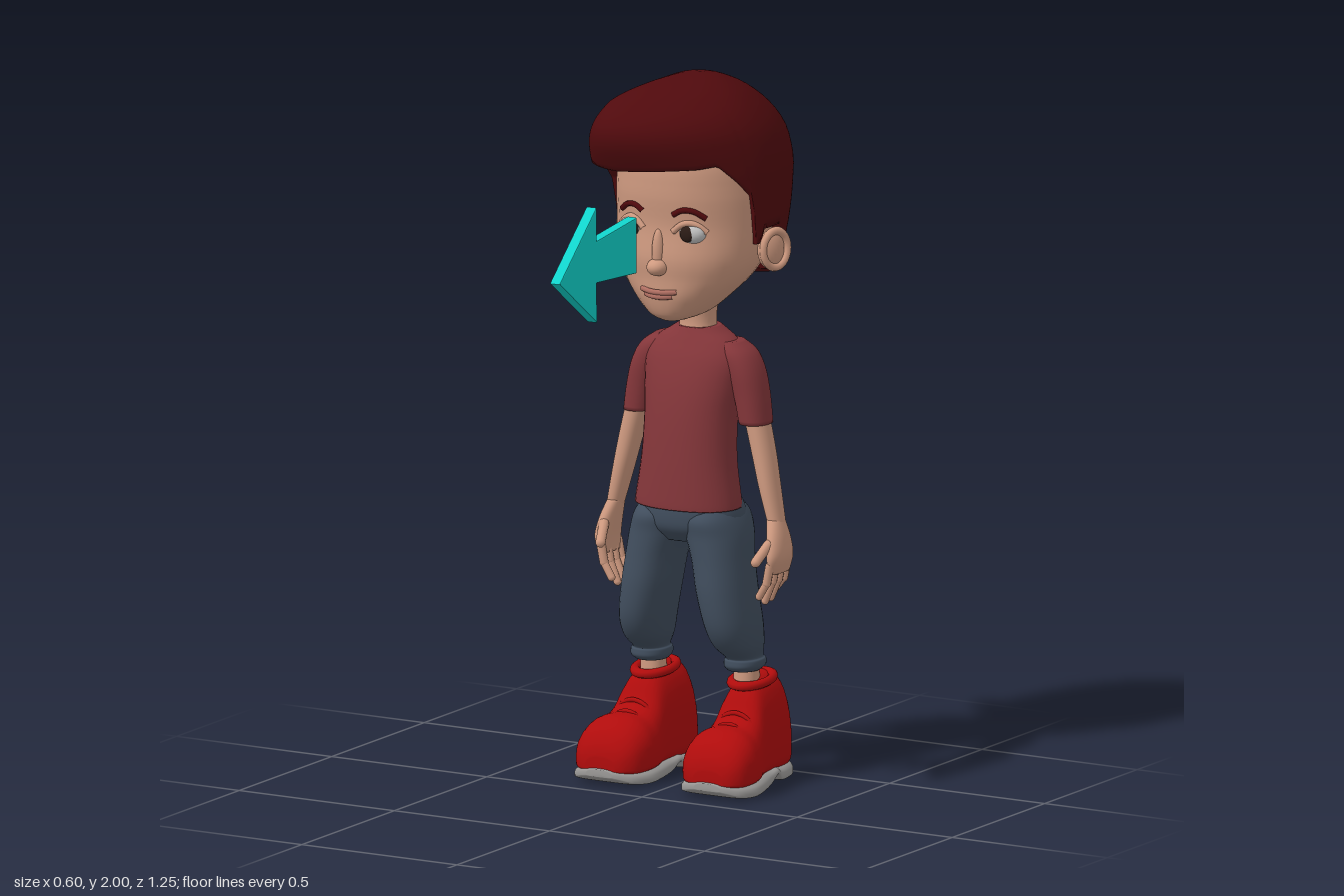
import * as THREE from 'three';

const V = (x, y, z) => new THREE.Vector3(x, y, z);
const material = (name, color) => Object.assign(new THREE.MeshStandardMaterial({ color }), { name });

// Catmull-Rom resampling of profile rows
function smooth(rows, steps = 5) {
  const out = [], last = rows.length - 1;
  for (let i = 0; i < last; i++) for (let k = 0; k < steps; k++) {
    const t = k / steps, a = rows[Math.max(i - 1, 0)], b = rows[i], c = rows[i + 1], d = rows[Math.min(i + 2, last)];
    out.push(b.map((_, j) => 0.5 * (2 * b[j] + (c[j] - a[j]) * t + (2 * a[j] - 5 * b[j] + 4 * c[j] - d[j]) * t * t
      + (3 * b[j] - a[j] - 3 * c[j] + d[j]) * t * t * t)));
  }
  out.push(rows[last]);
  return out;
}

// Linear lookup in rows sorted by their first value
function at(rows, key) {
  let i = 0;
  while (i < rows.length - 2 && rows[i + 1][0] < key) i++;
  const a = rows[i], b = rows[i + 1], t = THREE.MathUtils.clamp((key - a[0]) / (b[0] - a[0]), 0, 1);
  return a.map((v, j) => v + (b[j] - v) * t);
}

// Closed skin over rings of points, capped at both ends
function loft(rings) {
  const n = rings[0].length, pos = [], idx = [], m = rings.length;
  rings.forEach(r => r.forEach(p => pos.push(p.x, p.y, p.z)));
  for (const r of [rings[0], rings[m - 1]]) {
    const c = r.reduce((s, p) => s.add(p), V(0, 0, 0)).divideScalar(n);
    pos.push(c.x, c.y, c.z);
  }
  for (let j = 0; j < n; j++) {
    const k = (j + 1) % n;
    for (let i = 0; i < m - 1; i++) {
      const a = i * n + j, b = i * n + k;
      idx.push(a, b, b + n, a, b + n, a + n);
    }
    idx.push(m * n, k, j, m * n + 1, (m - 1) * n + j, (m - 1) * n + k);
  }
  const g = new THREE.BufferGeometry();
  g.setAttribute('position', new THREE.Float32BufferAttribute(pos, 3));
  g.setIndex(idx);
  g.computeVertexNormals();
  return g;
}

const power = (t, e) => Math.sign(t) * Math.abs(t) ** e;
const circle = (n, fn) => Array.from({ length: n }, (_, i) => fn(i / n * Math.PI * 2));

// Upright form from rows [y, centre x, half width, front z, back z]
function upright(rows, side = 1, p = 2.2) {
  return loft(smooth(rows).map(([y, cx, hw, zf, zb]) => circle(32, a =>
    V(side * cx + hw * power(Math.sin(a), 2 / p), y, (zf + zb) / 2 + (zf - zb) / 2 * power(Math.cos(a), 2 / p)))));
}

// Shoe form from rows [z, half width, bottom y, top y], flat underneath
function shoeForm(rows, side, grow = 0) {
  return loft(smooth(rows, 4).map(([z, hw, y0, y1]) => {
    const cx = side * (0.15 + (z + 0.46) * 0.06), ym = y0 + (y1 - y0) * 0.3;
    return circle(32, a => {
      const s = Math.sin(a), e = s < 0 ? 0.4 : 0.85;
      return V(cx + (hw + grow) * power(Math.cos(a), e), ym + (s < 0 ? ym - y0 : y1 - ym) * power(s, e), z);
    });
  }));
}

const HEAD = smooth([
  [1.325, 0, 0.035, -0.135, -0.25], [1.345, 0, 0.08, -0.105, -0.32], [1.395, 0, 0.135, -0.088, -0.38],
  [1.45, 0, 0.182, -0.085, -0.43], [1.51, 0, 0.207, -0.08, -0.47], [1.6, 0, 0.217, -0.088, -0.5],
  [1.7, 0, 0.217, -0.08, -0.52], [1.8, 0, 0.2, -0.09, -0.5], [1.88, 0, 0.14, -0.15, -0.44]]);
const faceZ = (x, y) => {
  const [, , hw, zf, zb] = at(HEAD, y);
  return (zf + zb) / 2 + (zf - zb) / 2 * (1 - Math.abs(x / hw) ** 2.2) ** (1 / 2.2);
};

// Hair swept up from a hairline, with the front leaning to one side
function hairGeometry() {
  const line = [[0, 1.76], [45, 1.772], [55, 1.78], [66, 1.705], [71, 1.68], [73, 1.545], [79, 1.545], [82, 1.585],
    [101, 1.585], [106, 1.45], [120, 1.432], [180, 1.43]];
  const shape = smooth([[1.42, 0.19, -0.1, -0.49], [1.5, 0.222, -0.08, -0.565], [1.6, 0.234, -0.07, -0.608],
    [1.7, 0.24, -0.06, -0.622], [1.76, 0.24, -0.02, -0.617], [1.84, 0.225, 0.014, -0.585], [1.9, 0.192, 0, -0.535],
    [1.95, 0.142, -0.065, -0.465], [1.98, 0.09, -0.145, -0.4], [1.995, 0.045, -0.225, -0.35], [2, 0.004, -0.29, -0.3]]);
  const rows = [-1, ...Array.from({ length: 27 }, (_, i) => i / 26)];
  return loft(rows.map(v => circle(180, a => {
    const deg = a * 180 / Math.PI, yb = at(line, Math.min(deg, 360 - deg))[1];
    const y = yb + (2 - yb) * Math.sin(Math.max(v, 0) * Math.PI / 2);
    const [, hw, zf, zb] = at(shape, y), k = v < 0 ? 0.55 : 1;
    const c = Math.cos(a), cz = Math.max(-0.31, (zf + zb) / 2 - 0.02);
    const lean = 0.1 * Math.max(c, 0) ** 2 * THREE.MathUtils.smoothstep(y, 1.6, 1.78) * Math.min(1, hw / 0.15);
    return V(k * hw * Math.sin(a) - lean, y, cz + k * c * (c > 0 ? zf - cz : cz - zb));
  })));
}

export function createModel() {
  const model = new THREE.Group();
  model.name = 'boyWithArrow';
  const skin = material('skin', 0xcf9a80), hair = material('hair', 0x500a0d), shirt = material('shirt', 0x84363a),
    denim = material('denim', 0x414e5e), red = material('shoeRed', 0xb00c0c), sole = material('soleGrey', 0x9c9a98),
    cyan = material('arrowCyan', 0x11d4cc), white = material('eyeWhite', 0xc4c4c4), dark = material('iris', 0x2c1c16),
    lip = material('lip', 0xb06f62);
  const add = (name, geometry, mat) => {
    const m = new THREE.Mesh(geometry, mat);
    m.name = name;
    model.add(m);
    return m;
  };
  const blob = (name, mat, c, r) => {
    const m = add(name, new THREE.SphereGeometry(1, 24, 16), mat);
    m.position.set(...c);
    m.scale.set(...r);
    return m;
  };
  const tube = (name, mat, pts, r) =>
    add(name, new THREE.TubeGeometry(new THREE.CatmullRomCurve3(pts), 16, r, 8), mat);
  const finger = (name, a, b, r) => {
    const m = add(name, new THREE.CapsuleGeometry(r, a.distanceTo(b), 4, 10), skin);
    m.position.copy(a).lerp(b, 0.5);
    m.quaternion.setFromUnitVectors(V(0, 1, 0), b.clone().sub(a).normalize());
  };

  // Head and face
  add('head', upright(HEAD), skin);
  add('hair', hairGeometry(), hair);
  add('neck', upright([[1.24, 0, 0.062, -0.24, -0.365], [1.3, 0, 0.05, -0.255, -0.355], [1.4, 0, 0.06, -0.24, -0.37]]), skin);
  blob('noseTip', skin, [0, 1.487, -0.085], [0.03, 0.025, 0.034]);
  blob('noseBridge', skin, [0, 1.53, -0.09], [0.018, 0.065, 0.02]);
  for (const [name, y, w] of [['upperLip', 1.416, 0.055], ['lowerLip', 1.403, 0.042]])
    tube(name, lip, [-1, -0.5, 0, 0.5, 1].map(t => V(t * w, y + 0.003 * t * t, faceZ(t * w, y) + 0.006 - 0.008 * t * t)), 0.008);

  // Shirt and hips
  add('shirtBody', upright([
    [0.785, 0, 0.157, -0.145, -0.362], [0.81, 0, 0.154, -0.145, -0.362], [0.92, 0, 0.138, -0.152, -0.362],
    [1.04, 0, 0.135, -0.165, -0.37], [1.13, 0, 0.144, -0.182, -0.382], [1.2, 0, 0.148, -0.205, -0.385],
    [1.245, 0, 0.122, -0.228, -0.38], [1.272, 0, 0.082, -0.243, -0.373], [1.285, 0, 0.062, -0.25, -0.365]]), shirt);
  add('trouserSeat', upright([[0.69, 0, 0.09, -0.19, -0.36], [0.725, 0, 0.15, -0.16, -0.39],
    [0.76, 0, 0.157, -0.152, -0.393], [0.8, 0, 0.148, -0.155, -0.38], [0.82, 0, 0.13, -0.17, -0.35]]), denim);

  for (const s of [-1, 1]) {
    const side = s > 0 ? 'left' : 'right';
    // Eyes, brows and ears
    const ez = faceZ(0.09, 1.59);
    blob(side + 'Eye', white, [s * 0.092, 1.59, ez - 0.016], [0.043, 0.033, 0.03]);
    blob(side + 'Iris', dark, [s * 0.088, 1.588, ez + 0.006], [0.022, 0.023, 0.011]);
    tube(side + 'Eyelid', skin, [-0.045, -0.022, 0, 0.022, 0.045].map(d =>
      V(s * (0.092 + d), 1.618 - 13 * d * d, faceZ(0.092 + d, 1.61) + 0.003)), 0.009);
    tube(side + 'Brow', hair, [[0.048, 1.64], [0.075, 1.654], [0.105, 1.652], [0.135, 1.632]].map(([x, y]) =>
      V(s * x, y, faceZ(x, y) + 0.002)), 0.008);
    const ear = blob(side + 'Ear', skin, [s * 0.235, 1.522, -0.303], [0.022, 0.056, 0.042]);
    ear.rotation.y = s * -0.45;
    const rim = add(side + 'EarRim', new THREE.TorusGeometry(0.046, 0.011, 10, 28), skin);
    rim.position.set(s * 0.248, 1.524, -0.306);
    rim.scale.set(0.88, 1.12, 1);
    rim.rotation.y = s * (Math.PI / 2 - 0.45);

    // Sleeve, arm and hand
    add(side + 'Sleeve', upright([[1.025, 0.186, 0.043, -0.25, -0.36], [1.1, 0.173, 0.046, -0.248, -0.366],
      [1.17, 0.152, 0.05, -0.245, -0.372], [1.22, 0.125, 0.05, -0.25, -0.372], [1.25, 0.1, 0.035, -0.27, -0.355]], s), shirt);
    add(side + 'Arm', upright([[0.74, 0.262, 0.021, -0.262, -0.325], [0.85, 0.236, 0.027, -0.258, -0.335],
      [0.95, 0.213, 0.031, -0.26, -0.342], [1.06, 0.186, 0.033, -0.262, -0.345]], s), skin);
    add(side + 'Palm', upright([[0.615, 0.272, 0.015, -0.235, -0.335], [0.66, 0.277, 0.023, -0.222, -0.34],
      [0.71, 0.27, 0.024, -0.235, -0.336], [0.765, 0.256, 0.021, -0.262, -0.325]], s), skin);
    [[-0.235, 0.55], [-0.267, 0.532], [-0.298, 0.536], [-0.327, 0.56]].forEach(([z, y], i) => {
      finger(`${side}Finger${i + 1}`, V(s * 0.272, 0.64, z), V(s * 0.262, 0.59, z), 0.0125);
      finger(`${side}FingerEnd${i + 1}`, V(s * 0.262, 0.59, z), V(s * 0.238, y, z), 0.011);
    });
    finger(side + 'Thumb', V(s * 0.265, 0.7, -0.24), V(s * 0.25, 0.655, -0.195), 0.014);

    // Trouser leg and ankle
    add(side + 'TrouserLeg', upright([
      [0.322, 0.148, 0.043, -0.255, -0.355], [0.335, 0.15, 0.053, -0.24, -0.372], [0.352, 0.15, 0.053, -0.24, -0.372],
      [0.362, 0.149, 0.047, -0.24, -0.366], [0.4, 0.144, 0.06, -0.192, -0.372], [0.46, 0.137, 0.068, -0.16, -0.372],
      [0.55, 0.121, 0.073, -0.15, -0.368], [0.64, 0.106, 0.076, -0.154, -0.372], [0.71, 0.09, 0.083, -0.156, -0.388],
      [0.76, 0.08, 0.077, -0.155, -0.392], [0.8, 0.075, 0.06, -0.19, -0.36]], s), denim);
    add(side + 'Ankle', upright([[0.22, 0.15, 0.036, -0.275, -0.355], [0.35, 0.15, 0.034, -0.28, -0.35]], s), skin);

    // Shoe, sole, collar and straps
    add(side + 'Shoe', shoeForm([
      [-0.462, 0.035, 0.04, 0.1], [-0.45, 0.062, 0.035, 0.2], [-0.42, 0.075, 0.03, 0.295], [-0.36, 0.078, 0.03, 0.305],
      [-0.3, 0.078, 0.03, 0.295], [-0.265, 0.082, 0.03, 0.265], [-0.235, 0.09, 0.03, 0.215], [-0.2, 0.102, 0.03, 0.188],
      [-0.15, 0.11, 0.03, 0.182], [-0.1, 0.1, 0.03, 0.155], [-0.072, 0.074, 0.035, 0.115], [-0.062, 0.045, 0.04, 0.08]], s), red);
    add(side + 'Sole', shoeForm([
      [-0.466, 0.035, 0.012, 0.045], [-0.45, 0.064, 0.002, 0.052], [-0.4, 0.076, 0, 0.052], [-0.36, 0.079, 0.004, 0.052],
      [-0.335, 0.08, 0.026, 0.052], [-0.29, 0.083, 0.004, 0.052], [-0.2, 0.104, 0, 0.052], [-0.14, 0.11, 0, 0.052],
      [-0.09, 0.094, 0.006, 0.052], [-0.066, 0.06, 0.018, 0.05], [-0.058, 0.035, 0.025, 0.045]], s, 0.005), sole);
    const collar = add(side + 'ShoeCollar', new THREE.TorusGeometry(0.052, 0.013, 10, 28), red);
    collar.position.set(s * 0.156, 0.289, -0.335);
    collar.rotation.x = Math.PI / 2 + 0.12;
    collar.scale.y = 1.35;
    for (const [z, y] of [[-0.232, 0.212], [-0.195, 0.187]])
      tube(side + 'Strap', red, [-1, -0.5, 0, 0.5, 1].map(t => V(s * 0.164 + t * 0.06, y - 0.035 * t * t, z)), 0.007);
  }

  // Flat arrow floating ahead of the face
  const outline = new THREE.Shape([[0.15, 1.525], [0.4, 1.547], [0.395, 1.435], [0.62, 1.585], [0.4, 1.752],
    [0.4, 1.658], [0.15, 1.675]].map(p => new THREE.Vector2(...p)));
  const arrow = new THREE.ExtrudeGeometry(outline,
    { depth: 0.024, bevelThickness: 0.004, bevelSize: 0.004, bevelSegments: 2 });
  arrow.translate(0, 0, -0.012);
  arrow.rotateY(-Math.PI / 2 + 0.075);
  arrow.translate(0.044, 0, 0);
  add('arrow', arrow, cyan);
  return model;
}
